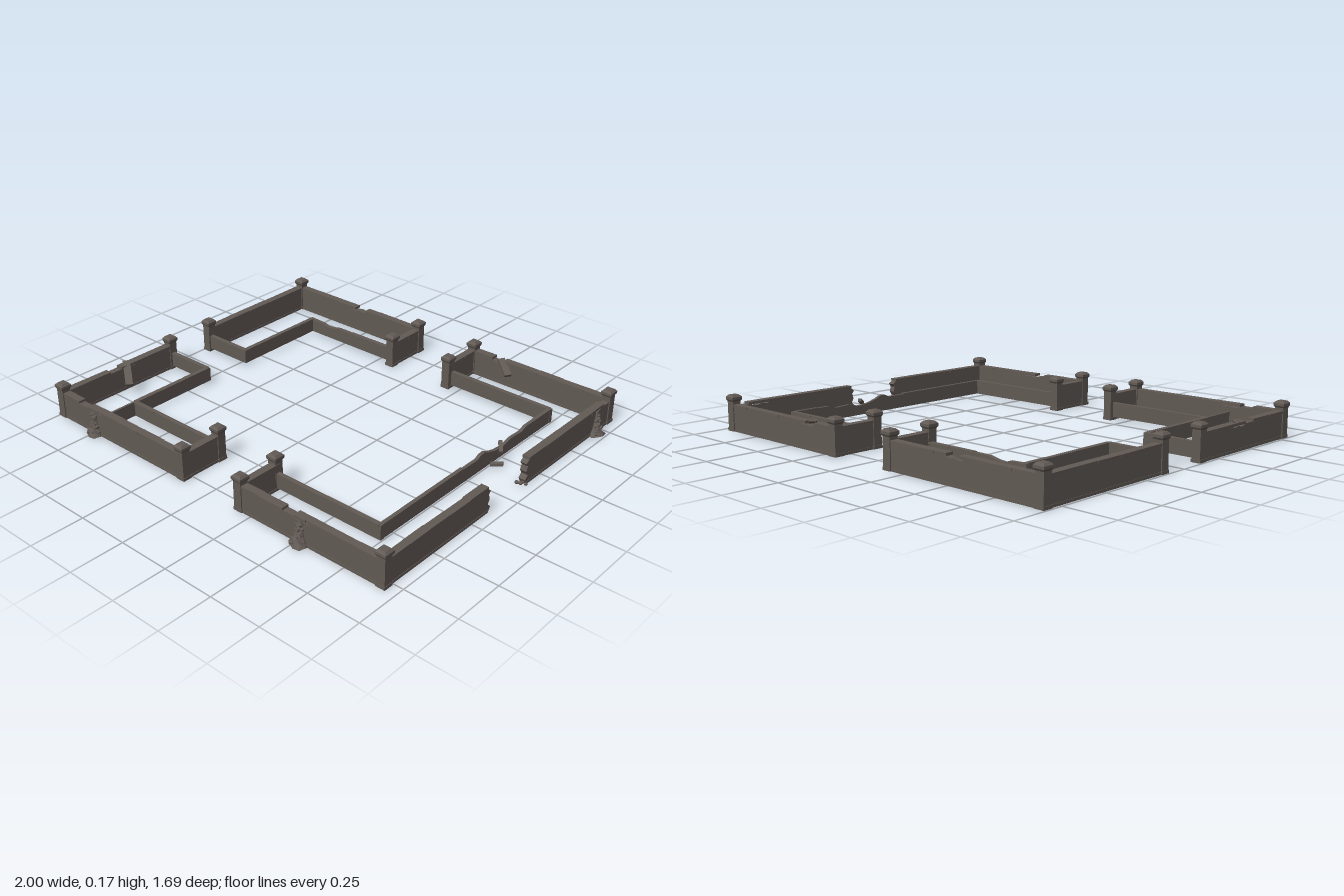
import * as THREE from 'three';

const stone = new THREE.MeshStandardMaterial({ color: 0x625a55 });
stone.name = 'weathered stone';
stone.flatShading = true;

let seed = 7;
const rnd = () => (seed = (seed * 16807) % 2147483647) / 2147483647;
const jit = (a) => (rnd() - 0.5) * 2 * a;

function add(parent, name, geometry, x = 0, y = 0, z = 0) {
  const mesh = new THREE.Mesh(geometry, stone);
  mesh.name = name;
  mesh.position.set(x, y, z);
  parent.add(mesh);
  return mesh;
}

// Places a group at a so that its local x axis runs along the ground to b
function run(parent, name, [ax, az], [bx, bz]) {
  const group = new THREE.Group();
  group.name = name;
  group.position.set(ax, 0, az);
  group.rotation.y = -Math.atan2(bz - az, bx - ax);
  parent.add(group);
  return { group, length: Math.hypot(bx - ax, bz - az) };
}

// Slab cut from a side profile and centred on its thickness
function slab(points, depth) {
  const shape = new THREE.Shape(points.map((p) => new THREE.Vector2(...p)));
  const geometry = new THREE.ExtrudeGeometry(shape, { depth, bevelEnabled: false });
  return geometry.translate(0, 0, -depth / 2);
}

// Tall wall: body with an optional chipped stretch and ragged end, topped by uneven coping
function outerWall(parent, a, b, { chip = null, ragged = false } = {}) {
  const { group, length } = run(parent, 'outerWall', a, b);
  const h = 0.115;
  const end = ragged
    ? [[length - 0.012, 0], [length, 0.022], [length - 0.018, 0.04], [length - 0.006, 0.06],
       [length - 0.014, 0.085], [length - 0.002, 0.1], [length - 0.022, h]]
    : [[length, 0], [length, h]];
  const top = chip === null ? [] : [[chip + 0.06, h], [chip + 0.035, h - 0.008], [chip + 0.01, h - 0.003],
    [chip - 0.02, h - 0.01], [chip - 0.05, h]];
  add(group, 'wallBody', slab([[0, 0], ...end, ...top, [0, h]], 0.032), 0, 0, 0);
  add(group, 'wallPlinth', new THREE.BoxGeometry(length - 0.015, 0.012, 0.037), (length - 0.015) / 2, 0.006, 0);

  const stop = length - (ragged ? 0.02 : 0);
  const count = Math.max(2, Math.round(stop / 0.13));
  for (let i = 0; i < count; i++) {
    const w = stop / count;
    const x = (i + 0.5) * w;
    const broken = chip !== null && Math.abs(x - chip) < w / 2;
    const stone = add(group, 'copingStone',
      new THREE.BoxGeometry(broken ? w * 0.5 : w, 0.012, 0.037 + jit(0.002)),
      x + (broken ? w * 0.25 : 0), h + 0.005, jit(0.0015));
    stone.rotation.y = jit(0.012);
  }
}

// Low thin wall raised just clear of the ground, with an irregular top
function innerWall(parent, a, b, { worn = null, thick = 0.02 } = {}) {
  const { group, length } = run(parent, 'innerWall', a, b);
  const top = worn === null ? [] : worn.map(([x, y]) => [x, y]).reverse();
  add(group, 'innerWallBody', slab([[-0.01, 0.015], [length + 0.01, 0.015], [length + 0.01, 0.083], ...top,
    [-0.01, 0.083]], thick));
  const count = Math.max(1, Math.round(length / 0.13));
  for (let i = 0; i < count; i++) {
    const x = (i + 0.5) * length / count;
    if (worn && x > worn[0][0] - 0.06 && x < worn[worn.length - 1][0] + 0.06) continue;
    add(group, 'innerCoping', new THREE.BoxGeometry(length / count, 0.008, thick + 0.002 + jit(0.001)), x, 0.081, jit(0.001));
  }
}

// Square pillar with a flared cap and a low pyramid top
function post(parent, x, z) {
  const group = new THREE.Group();
  group.name = 'post';
  group.position.set(x, 0, z);
  parent.add(group);
  add(group, 'postShaft', new THREE.BoxGeometry(0.042, 0.142, 0.042), 0, 0.071, 0);
  add(group, 'postBase', new THREE.BoxGeometry(0.047, 0.014, 0.047), 0, 0.007, 0);
  const r = Math.SQRT1_2;
  const square = (t, b, h) => new THREE.CylinderGeometry(t * r, b * r, h, 4).rotateY(Math.PI / 4);
  add(group, 'capFlare', square(0.053, 0.043, 0.008), 0, 0.143, 0);
  add(group, 'capSlab', square(0.053, 0.053, 0.012), 0, 0.153, 0);
  add(group, 'capTop', square(0.034, 0.053, 0.01), 0, 0.164, 0);
}

// Collapsed heap: steep ragged cone against a wall with loose stones round its foot
function rubble(parent, x, z, facing) {
  const group = new THREE.Group();
  group.name = 'rubbleHeap';
  group.position.set(x, 0, z);
  group.rotation.y = facing;
  parent.add(group);
  const profile = [[0.046, 0], [0.034, 0.016], [0.026, 0.035], [0.018, 0.06], [0.012, 0.09], [0.007, 0.112], [0, 0.116]];
  const cone = new THREE.LatheGeometry(profile.map((p) => new THREE.Vector2(...p)), 10);
  const p = cone.attributes.position;
  for (let i = 0; i < p.count; i++) {
    const wobble = 1 + 0.16 * Math.sin(Math.atan2(p.getX(i), p.getZ(i)) * 4 + p.getY(i) * 130);
    p.setX(i, p.getX(i) * wobble);
    p.setZ(i, p.getZ(i) * wobble);
  }
  cone.computeVertexNormals();
  add(group, 'heapCore', cone);
  for (let i = 0; i < 22; i++) {
    const t = rnd();
    const angle = jit(1.45);
    const radius = 0.012 + 0.03 * (1 - t) ** 2;
    const s = 0.005 + rnd() * 0.005;
    const rock = add(group, 'looseStone', new THREE.DodecahedronGeometry(s),
      Math.sin(angle) * radius, Math.max(s * 0.8, t * 0.1), Math.cos(angle) * radius);
    rock.rotation.set(rnd() * 3, rnd() * 3, 0);
  }
}

// Fallen coping stone
function fallen(parent, size, pos, yaw, tilt) {
  const mesh = add(parent, 'fallenStone', new THREE.BoxGeometry(...size), ...pos);
  mesh.rotation.set(0, yaw, tilt, 'YXZ');
}

export function createModel() {
  const root = new THREE.Group();
  root.name = 'ruinedCourtyardWalls';
  const L = -0.976, R = 0.932, B = -0.824, F = 0.782;
  const gl = -0.163, gr = 0.184, iL = -0.711, iR = 0.75, iB = -0.623, iF = 0.583;

  // Posts at corners and gateways
  const posts = [[L, B], [gl, B], [gl, -0.613], [L, -0.128], [gr, B], [gr, -0.613], [R, B],
    [L, 0.134], [L, F], [gl, F], [gl, 0.576], [gr, F], [gr - 0.004, 0.576], [R, F]];
  posts.forEach(([x, z]) => post(root, x, z));

  // Outer walls
  outerWall(root, [L, B], [gl, B], { chip: 0.42 });
  outerWall(root, [L, B], [L, -0.128]);
  outerWall(root, [gl, B], [gl, -0.613]);
  outerWall(root, [gr, B], [R, B], { chip: 0.17 });
  outerWall(root, [gr, B], [gr, -0.613]);
  outerWall(root, [R, B], [R, -0.13], { ragged: true, chip: 0.13 });
  outerWall(root, [R, F], [R, 0.125], { ragged: true });
  outerWall(root, [gr, F], [R, F], { chip: 0.34 });
  outerWall(root, [gr, F], [gr, 0.576]);
  outerWall(root, [L, F], [gl, F], { chip: 0.25 });
  outerWall(root, [L, F], [L, 0.134], { chip: 0.37 });
  outerWall(root, [gl, F], [gl, 0.576]);

  // Inner walls
  innerWall(root, [L, -0.125], [iL, -0.125]);
  innerWall(root, [iL, -0.125], [iL, iB]);
  innerWall(root, [iL, iB], [gl, iB], { worn: [[0.08, 0.08], [0.11, 0.07], [0.15, 0.074], [0.19, 0.083]] });
  innerWall(root, [gr, iB], [iR, iB]);
  innerWall(root, [iR, iB], [iR, iF], {
    thick: 0.016,
    worn: [[0.2, 0.083], [0.24, 0.07], [0.32, 0.074], [0.38, 0.06], [0.44, 0.066], [0.49, 0.08], [0.52, 0.094], [0.55, 0.092], [0.57, 0.08]],
  });
  innerWall(root, [gr, iF], [iR, iF]);
  innerWall(root, [L, 0.134], [iL, 0.134]);
  innerWall(root, [iL, 0.134], [iL, iF]);
  innerWall(root, [iL, iF], [gl, iF]);
  innerWall(root, [iL, iF], [iL, F - 0.01], { thick: 0.009 });

  // Rubble heaps against the outside faces
  rubble(root, -0.735, 0.796, 0);
  rubble(root, 0.525, 0.796, 0);
  rubble(root, 0.948, -0.7, Math.PI / 2);

  // Fallen stones
  fallen(root, [0.08, 0.014, 0.02], [-0.635, 0.02, -0.655], -0.25, 0.08);
  fallen(root, [0.1, 0.014, 0.035], [0.39, 0.105, -0.79], -0.55, -0.5);
  fallen(root, [0.14, 0.014, 0.035], [-0.93, 0.1, 0.445], -0.62, -0.5);
  fallen(root, [0.06, 0.014, 0.018], [0.765, 0.075, -0.212], -0.9, -0.4);
  fallen(root, [0.055, 0.014, 0.02], [0.785, 0.02, -0.16], 0.55, 0.1);

  // Chips scattered at the broken gap
  for (let i = 0; i < 5; i++) {
    const chip = add(root, 'stoneChip', new THREE.DodecahedronGeometry(0.006 + rnd() * 0.004),
      R + jit(0.025), 0.006, -0.125 + jit(0.012));
    chip.rotation.y = rnd() * 3;
  }
  return root;
}
